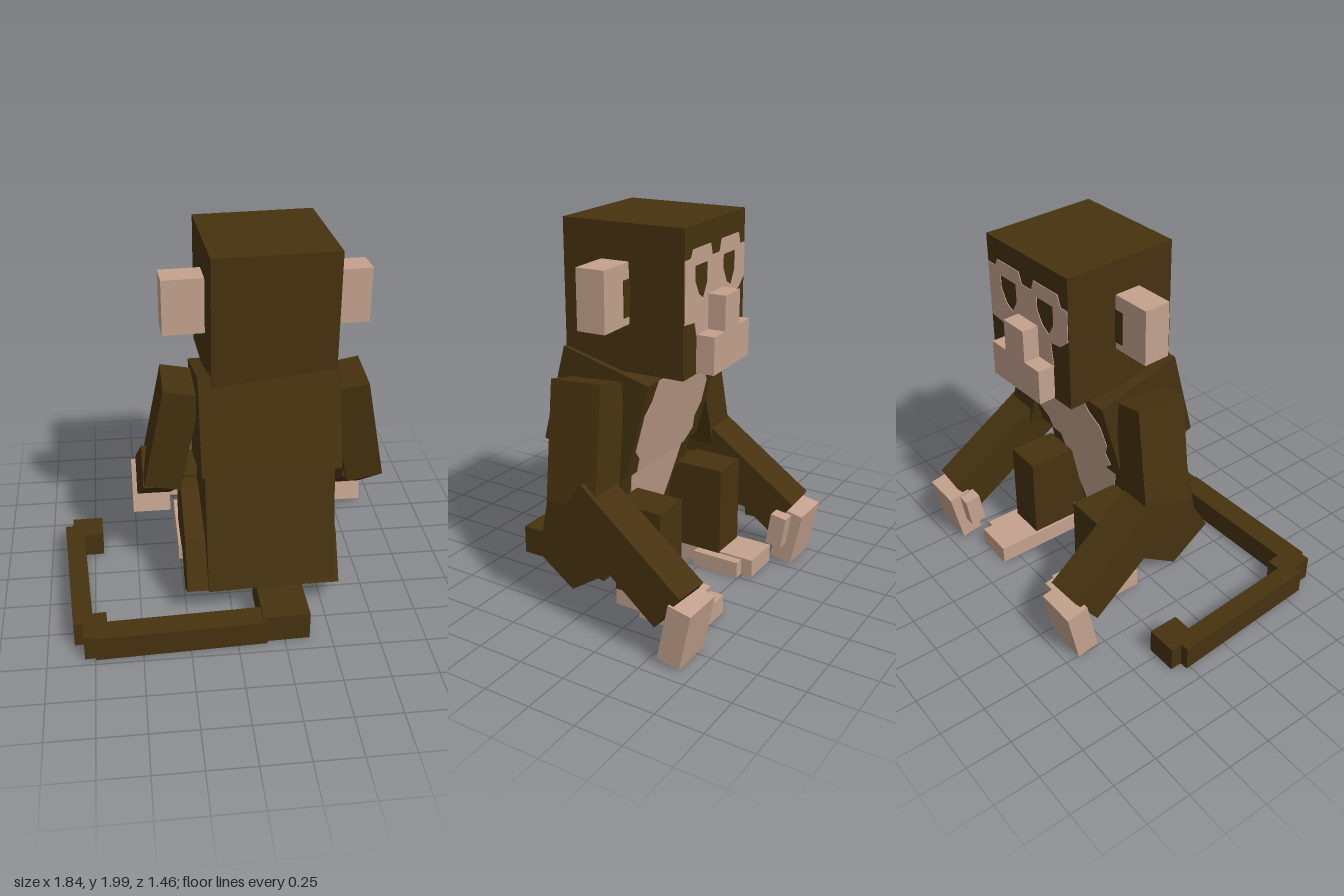
import * as THREE from 'three';

export function createModel() {
  const root = new THREE.Group();
  root.name = 'monkey';
  const fur = new THREE.MeshStandardMaterial({ color: 0x46320f });
  fur.name = 'brown fur';
  const skin = new THREE.MeshStandardMaterial({ color: 0xc4a28e });
  skin.name = 'pale skin';

  // box given by centre, size and optional tilt
  function box(parent, name, mat, [x, y, z], size, rx = 0, ry = 0) {
    const m = new THREE.Mesh(new THREE.BoxGeometry(...size), mat);
    m.name = name;
    m.position.set(x, y, z);
    m.rotation.set(rx, ry, 0, 'YXZ');
    parent.add(m);
    return m;
  }
  // box running from one point to another
  function limb(name, mat, from, to, width, thick) {
    const a = new THREE.Vector3(...from), b = new THREE.Vector3(...to);
    const y = b.clone().sub(a), len = y.length();
    y.normalize();
    const x = new THREE.Vector3(1, 0, 0).addScaledVector(y, -y.x).normalize();
    const z = x.clone().cross(y);
    const m = box(root, name, mat, a.clone().add(b).multiplyScalar(0.5).toArray(), [width, len, thick]);
    m.quaternion.setFromRotationMatrix(new THREE.Matrix4().makeBasis(x, y, z));
  }
  const toPoints = (list) => list.map(([x, y]) => new THREE.Vector2(x, y));
  // thin painted patch lying on a face at depth z
  function patch(parent, name, mat, outline, z, holes = []) {
    const shape = new THREE.Shape(toPoints(outline));
    holes.forEach((h) => shape.holes.push(new THREE.Path(toPoints(h))));
    const m = new THREE.Mesh(new THREE.ExtrudeGeometry(shape, { depth: 0.008, bevelEnabled: false }), mat);
    m.name = name;
    m.position.z = z - 0.004;
    parent.add(m);
  }

  // head with ears, muzzle and face
  const head = new THREE.Group();
  head.name = 'head';
  head.position.set(0.215, 1.64, -0.11);
  head.rotation.y = 0.055;
  root.add(head);
  box(head, 'skull', fur, [0, 0, 0], [0.65, 0.72, 0.65]);
  for (const s of [-1, 1]) {
    box(head, s > 0 ? 'leftEar' : 'rightEar', skin, [s * 0.435, 0.03, 0.04], [0.22, 0.3, 0.15]);
    box(head, 'earFurFront', fur, [s * 0.35, 0.01, -0.037], [0.055, 0.18, 0.006]);
  }
  box(head, 'earFurBack', fur, [0.352, 0.01, 0.117], [0.055, 0.18, 0.006]);
  box(head, 'mouth', skin, [0, -0.26, -0.37], [0.39, 0.19, 0.1]);
  box(head, 'nose', skin, [0, -0.08, -0.37], [0.16, 0.18, 0.1]);
  const eye = (x, y) => [[x - 0.06, y - 0.02], [x - 0.02, y - 0.09], [x + 0.03, y - 0.06],
    [x + 0.07, y + 0.01], [x + 0.07, y + 0.08], [x - 0.06, y + 0.08]];
  patch(head, 'face', skin, [[-0.32, 0.02], [-0.32, 0.19], [-0.27, 0.19], [-0.25, 0.25], [-0.06, 0.25],
    [-0.04, 0.19], [0.04, 0.19], [0.06, 0.25], [0.24, 0.25], [0.26, 0.21], [0.32, 0.21], [0.32, -0.09],
    [0.22, -0.1], [0.2, -0.17], [-0.2, -0.17], [-0.18, -0.04], [-0.26, -0.03]], -0.325,
  [eye(-0.15, 0.09), eye(0.15, 0.09)]);

  // chest and hips lean forward, each with a pale front
  const chest = new THREE.Group();
  chest.name = 'chest';
  chest.position.set(0.205, 1.045, 0.035);
  chest.rotation.set(-0.26, 0.03, 0, 'YXZ');
  root.add(chest);
  box(chest, 'chestFur', fur, [0, 0, 0], [0.74, 0.53, 0.5]);
  patch(chest, 'chestSkin', skin, [[-0.22, -0.265], [0.26, -0.265], [0.27, -0.18], [0.33, -0.12], [0.33, 0.08],
    [0.29, 0.15], [0.27, 0.265], [-0.2, 0.265], [-0.23, 0.17], [-0.3, 0.1], [-0.31, -0.04], [-0.27, -0.12],
    [-0.29, -0.2]], -0.25);
  const hips = new THREE.Group();
  hips.name = 'hips';
  hips.position.set(0.205, 0.46, 0.16);
  hips.rotation.set(-0.2, 0.03, 0, 'YXZ');
  root.add(hips);
  box(hips, 'hipsFur', fur, [0, 0, 0], [0.69, 0.66, 0.42]);
  patch(hips, 'bellySkin', skin, [[-0.11, -0.33], [0.13, -0.33], [0.15, -0.15], [0.2, 0.05], [0.27, 0.33],
    [-0.27, 0.33], [-0.2, 0.08], [-0.13, -0.12]], -0.21);

  // folded legs
  const thighSide = toPoints([[0.43, 0.18], [0.29, 0.42], [-0.02, 0.57], [-0.12, 0.58], [-0.12, 0.22], [0.19, 0.01]]);
  for (const [side, x] of [['left', 0.475], ['right', -0.14]]) {
    const g = new THREE.ExtrudeGeometry(new THREE.Shape(thighSide), { depth: 0.21, bevelEnabled: false });
    const thigh = new THREE.Mesh(g.rotateY(-Math.PI / 2), fur); // outline runs along z
    thigh.name = side + 'Thigh';
    thigh.position.x = x + 0.105;
    root.add(thigh);
    box(root, side + 'Shin', fur, [x, 0.345, -0.225], [0.21, 0.49, 0.27]);
    const toeZ = side === 'left' ? -0.6 : -0.56;
    box(root, side + 'Foot', skin, [x - 0.01, 0.058, (toeZ - 0.09) / 2], [0.22, 0.1, -0.09 - toeZ]);
    box(root, side + 'Toe', skin, [x + 0.12, 0.053, toeZ + 0.2], [0.06, 0.09, 0.27]);
  }

  // arms reaching to the ground
  const arms = [
    ['left', [0.645, 1.24, 0.01], [0.765, 0.65, -0.03], [0.805, 0.28, -0.605], [0.805, 0.025, -0.615], 0.665],
    ['right', [-0.235, 1.24, -0.01], [-0.35, 0.65, -0.04], [-0.38, 0.28, -0.605], [-0.395, 0.025, -0.615], -0.25],
  ];
  for (const [side, shoulder, elbow, wrist, palm, thumbX] of arms) {
    limb(side + 'UpperArm', fur, elbow, shoulder, 0.2, 0.29);
    limb(side + 'Forearm', fur, wrist, [elbow[0], 0.7, -0.03], 0.205, 0.235);
    limb(side + 'Hand', skin, palm, [palm[0], 0.325, -0.675], 0.23, 0.125);
    box(root, side + 'Thumb', skin, [thumbX, 0.23, -0.615], [0.085, 0.18, 0.09], -0.15);
  }

  // tail curling round to one side
  box(root, 'tailRoot', fur, [0.255, 0.09, 0.48], [0.25, 0.16, 0.38], 0, 0.02);
  box(root, 'tailMiddle', fur, [-0.3, 0.085, 0.645], [0.9, 0.14, 0.13], 0, 0.035);
  box(root, 'tailBend', fur, [-0.745, 0.085, 0.615], [0.13, 0.14, 0.19], 0, 0.06);
  box(root, 'tailEnd', fur, [-0.835, 0.085, 0.16], [0.105, 0.14, 0.88], 0, 0.065);
  box(root, 'tailTip', fur, [-0.785, 0.085, -0.26], [0.17, 0.14, 0.17], 0, 0.02);

  return root;
}
